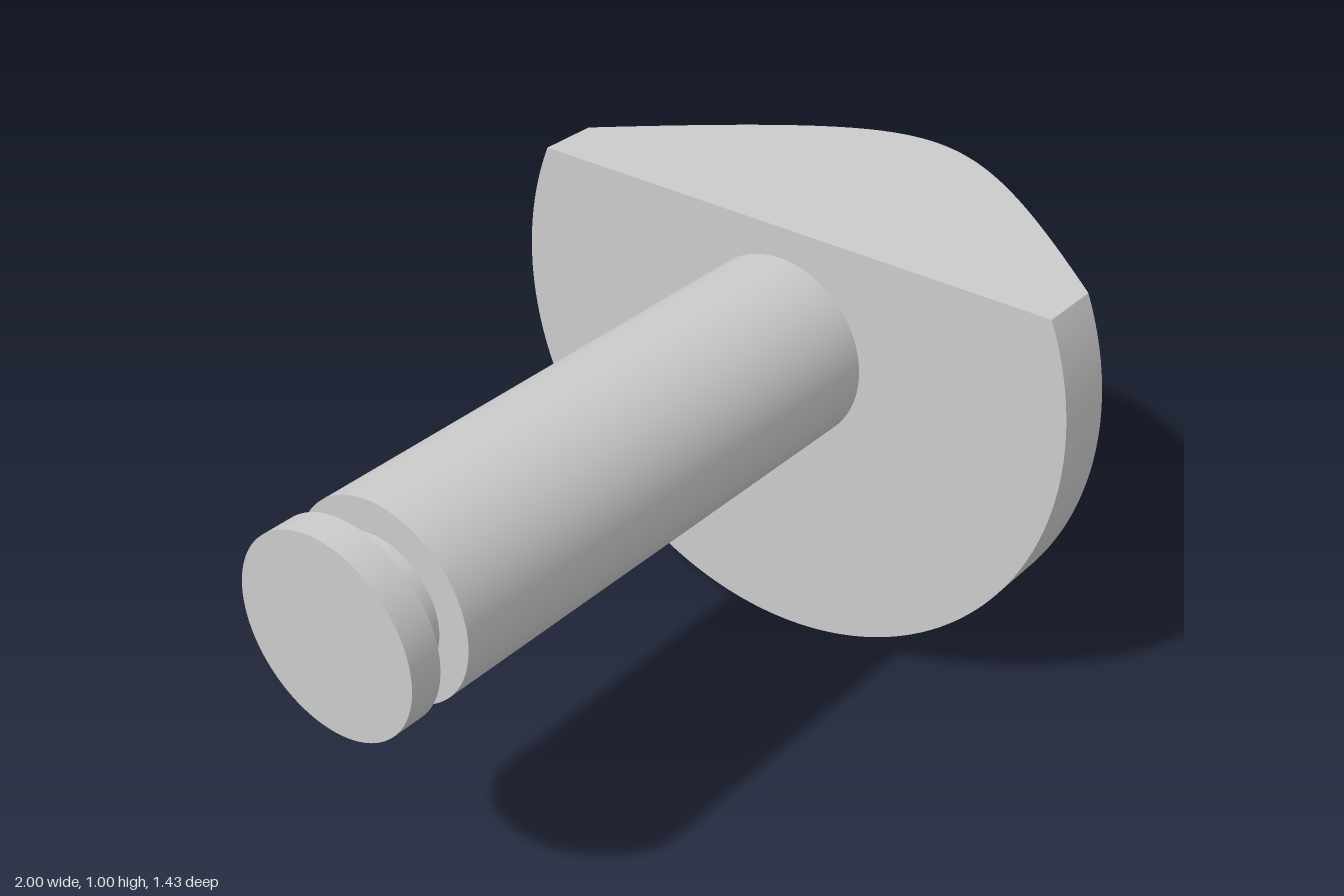
import * as THREE from 'three';

const AXIS_Y = 0.714;   // height of the common axis
const FLAT = 0.286;     // height of the flat above the axis
const HEAD_R = 0.714, SHAFT_R = 0.214, GROOVE_R = 0.143;
const BACK_X = 0.357, RIM_X = 0.5, TIP_X = 1;
const SEG = 96;

const material = new THREE.MeshStandardMaterial({ color: 0xcccccc });

// Angle from straight up at which a circle of radius r meets the flat
const cutAngle = (r) => Math.acos(Math.min(1, FLAT / r));

// Surface of revolution about x through [x, radius] rings, cut off by the flat
function cutRevolve(rings, slope) {
  const pos = [], norm = [], index = [];
  rings.forEach(([x, r], i) => {
    const a = cutAngle(r);
    for (let j = 0; j <= SEG; j++) {
      const t = a + (2 * Math.PI - 2 * a) * j / SEG;
      const n = new THREE.Vector3(slope, Math.cos(t), Math.sin(t)).normalize();
      pos.push(x, r * Math.cos(t), r * Math.sin(t));
      norm.push(n.x, n.y, n.z);
      if (i && j < SEG) {
        const q = i * (SEG + 1) + j, p = q - SEG - 1;
        index.push(p, p + 1, q, p + 1, q + 1, q);
      }
    }
  });
  const g = new THREE.BufferGeometry();
  g.setAttribute('position', new THREE.Float32BufferAttribute(pos, 3));
  g.setAttribute('normal', new THREE.Float32BufferAttribute(norm, 3));
  g.setIndex(index);
  return g;
}

export function createModel() {
  const model = new THREE.Group();
  const add = (parent, name, geometry, x = 0, y = 0) => {
    const mesh = new THREE.Mesh(geometry, material);
    mesh.name = name;
    mesh.position.set(x, y, 0);
    parent.add(mesh);
  };

  // Head: cone and rim with a flat cut along the top
  const head = new THREE.Group();
  head.name = 'head';
  head.position.y = AXIS_Y;
  model.add(head);

  const cone = [];
  for (let i = 0; i <= 32; i++) {
    const r = FLAT + (HEAD_R - FLAT) * (1 - i / 32) ** 2; // finer near the flat's apex
    cone.push([RIM_X + HEAD_R - r, r]);
  }
  add(head, 'headCone', cutRevolve([...cone, [TIP_X, SHAFT_R]], 1));
  add(head, 'headRim', cutRevolve([[BACK_X, HEAD_R], [RIM_X, HEAD_R]], 0));
  add(head, 'headTip', new THREE.CircleGeometry(SHAFT_R, SEG).rotateY(Math.PI / 2), TIP_X);

  // Flat top outlined by the curve where the cone is cut
  const side = [[BACK_X, HEAD_R], ...cone].map(([x, r]) =>
    new THREE.Vector2(x, Math.sqrt(Math.max(0, r * r - FLAT * FLAT))));
  const mirrored = side.slice(0, -1).map((p) => new THREE.Vector2(p.x, -p.y));
  const flat = new THREE.Shape([...mirrored, ...side.reverse()]);
  add(head, 'headFlat', new THREE.ShapeGeometry(flat).rotateX(-Math.PI / 2), 0, FLAT);

  // Back face of the head
  const a = cutAngle(HEAD_R);
  const back = new THREE.Shape();
  back.absarc(0, 0, HEAD_R, Math.PI / 2 + a, Math.PI * 2.5 - a, false);
  add(head, 'headBack', new THREE.ShapeGeometry(back, SEG).rotateY(-Math.PI / 2), BACK_X);

  // Shaft with a retaining groove near its end
  const rod = (name, x0, x1, r, open = false) => add(model, name,
    new THREE.CylinderGeometry(r, r, x1 - x0, SEG, 1, open).rotateZ(-Math.PI / 2),
    (x0 + x1) / 2, AXIS_Y);
  rod('shaft', -0.857, BACK_X + 0.01, SHAFT_R);
  rod('groove', -0.929, -0.857, GROOVE_R, true);
  rod('endCollar', -1, -0.929, SHAFT_R);

  return model;
}
